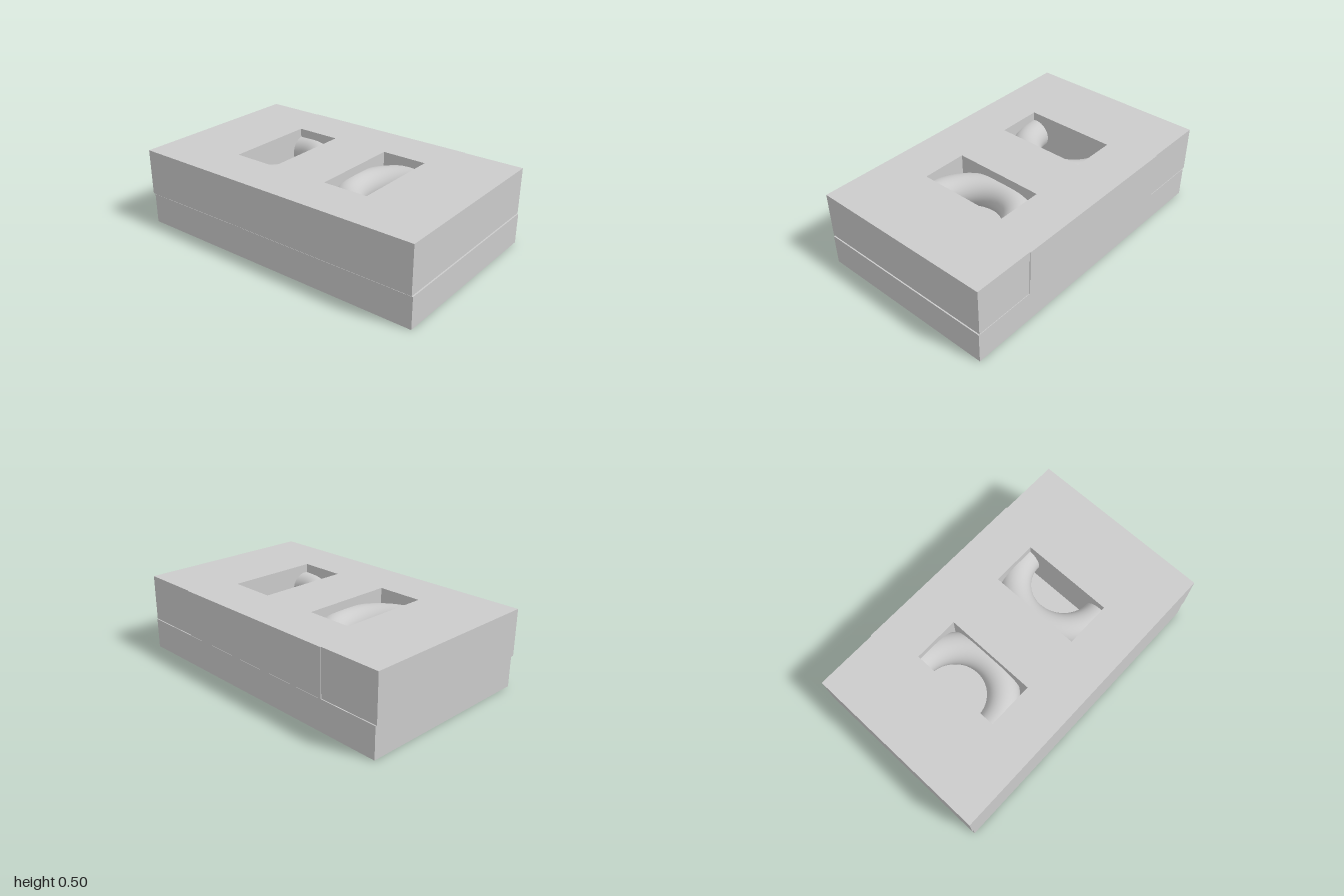
import * as THREE from 'three';

const material = new THREE.MeshStandardMaterial({ color: 0xcccccc });

function addMesh(group, name, geometry, x, y, z) {
  const mesh = new THREE.Mesh(geometry, material);
  mesh.name = name;
  mesh.position.set(x, y, z);
  group.add(mesh);
  return mesh;
}

// Closed rectangle in plan; the shape's y becomes -z once laid flat
function rectangle(PathType, x0, x1, z0, z1) {
  const path = new PathType();
  path.moveTo(x0, -z1);
  path.lineTo(x1, -z1);
  path.lineTo(x1, -z0);
  path.lineTo(x0, -z0);
  path.closePath();
  return path;
}

export function createModel() {
  const group = new THREE.Group();
  group.name = 'block';

  // Base slab
  addMesh(group, 'base', new THREE.BoxGeometry(1.2, 0.2, 1.99), 0, 0.1, 0.005);

  // Cover with two rectangular windows, a hair above the base
  const outline = rectangle(THREE.Shape, -0.605, 0.6, -1, 0.995);
  for (const [z0, z1] of [[-0.5, -0.2], [0.19, 0.49]]) {
    outline.holes.push(rectangle(THREE.Path, -0.305, 0.3, z0, z1));
  }
  const coverGeometry = new THREE.ExtrudeGeometry(outline, { depth: 0.3, bevelEnabled: false });
  coverGeometry.rotateX(-Math.PI / 2);
  addMesh(group, 'cover', coverGeometry, 0, 0.205, 0);

  // Slightly raised strip on the cover's side
  addMesh(group, 'sideStrip', new THREE.BoxGeometry(0.005, 0.3, 1.2), 0.6025, 0.355, 0);

  // Rings lying flat, half seen through each window
  for (const [name, z] of [['rearRing', -0.5], ['frontRing', 0.49]]) {
    const ring = new THREE.TorusGeometry(0.3, 0.1, 32, 72);
    ring.rotateX(Math.PI / 2);
    addMesh(group, name, ring, 0.02, 0.35, z);
  }

  return group;
}
